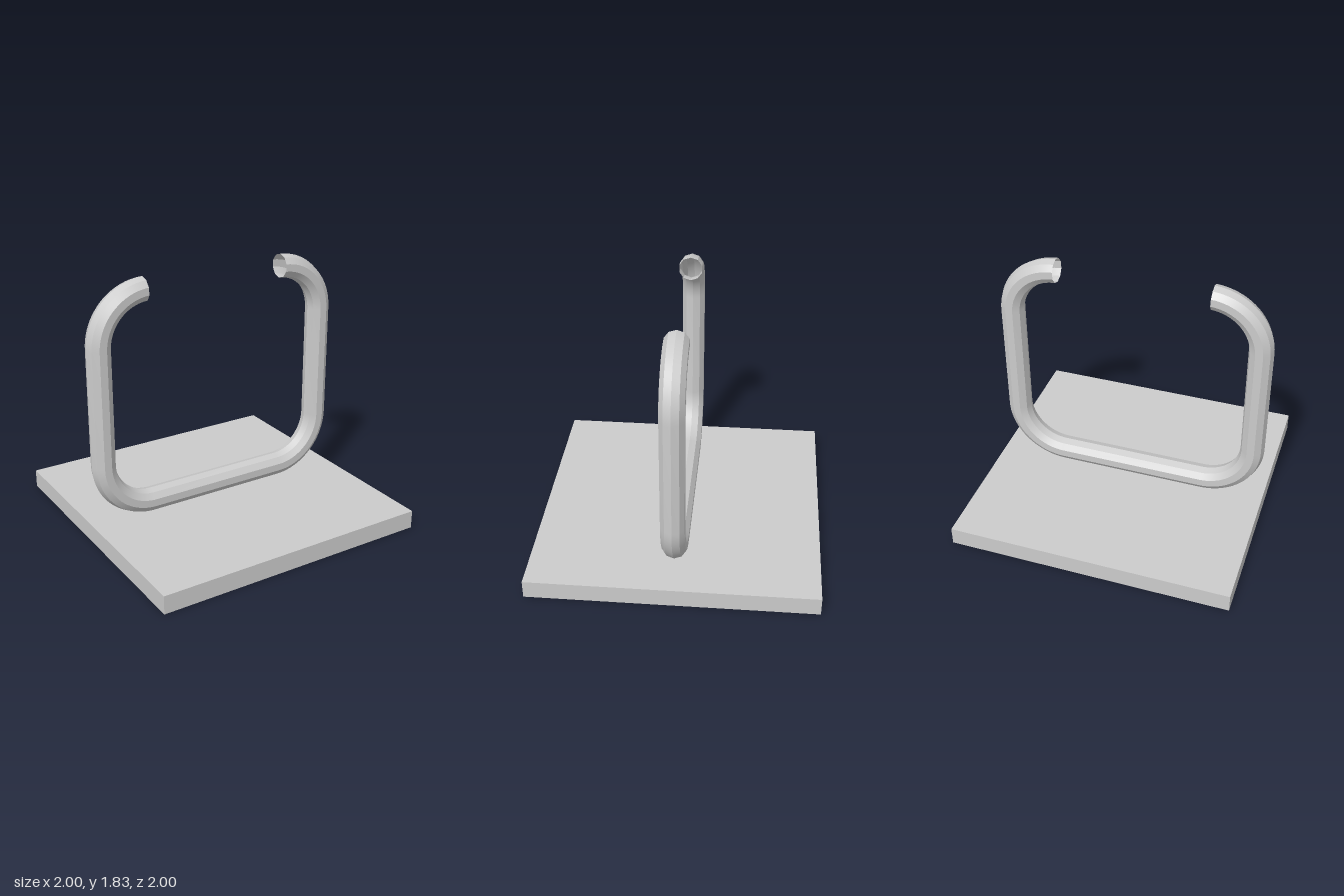
import * as THREE from 'three';
import { toCreasedNormals } from 'three/addons/utils/BufferGeometryUtils.js';

// Ten-sided pipe following a rounded rectangle, left open at the top
function pipeGeometry() {
  const sides = 10, radius = 0.085, bend = 0.355, steps = 20, gap = 0.04;
  const halfX = 0.525, topY = 1.39, bottomY = 0.57;
  const q = Math.PI / 2;
  const corners = [
    [halfX, topY, q - gap, 0],
    [halfX, bottomY, 0, -q],
    [-halfX, bottomY, -q, -2 * q],
    [-halfX, topY, -2 * q, -3 * q + gap],
  ];
  const positions = [], indices = [];
  let rings = 0;
  for (const [cx, cy, start, end] of corners) {
    for (let s = 0; s <= steps; s++, rings++) {
      const a = start + (end - start) * s / steps;
      for (let j = 0; j < sides; j++) {
        const t = j / sides * Math.PI * 2;
        const r = bend + radius * Math.cos(t);
        positions.push(cx + r * Math.cos(a), cy + r * Math.sin(a), radius * Math.sin(t));
      }
    }
  }
  for (let i = 0; i < rings - 1; i++) {
    for (let j = 0; j < sides; j++) {
      const a = i * sides + j, b = i * sides + (j + 1) % sides;
      indices.push(a, b, a + sides, b, b + sides, a + sides);
    }
  }
  const geometry = new THREE.BufferGeometry();
  geometry.setAttribute('position', new THREE.Float32BufferAttribute(positions, 3));
  geometry.setIndex(indices);
  // Smooth along the bends, crisp between the ten facets
  return toCreasedNormals(geometry, 0.4);
}

export function createModel() {
  const group = new THREE.Group();

  // Square slab
  const base = new THREE.Mesh(
    new THREE.BoxGeometry(2, 0.13, 2),
    new THREE.MeshStandardMaterial({ color: 0xcccccc })
  );
  base.name = 'base';
  base.position.y = 0.065;

  // Open-ended bent pipe, slightly off centre
  const pipe = new THREE.Mesh(
    pipeGeometry(),
    new THREE.MeshStandardMaterial({ color: 0xcccccc, side: THREE.DoubleSide })
  );
  pipe.name = 'bentPipe';
  pipe.position.set(-0.015, 0, -0.005);

  group.add(base, pipe);
  return group;
}
